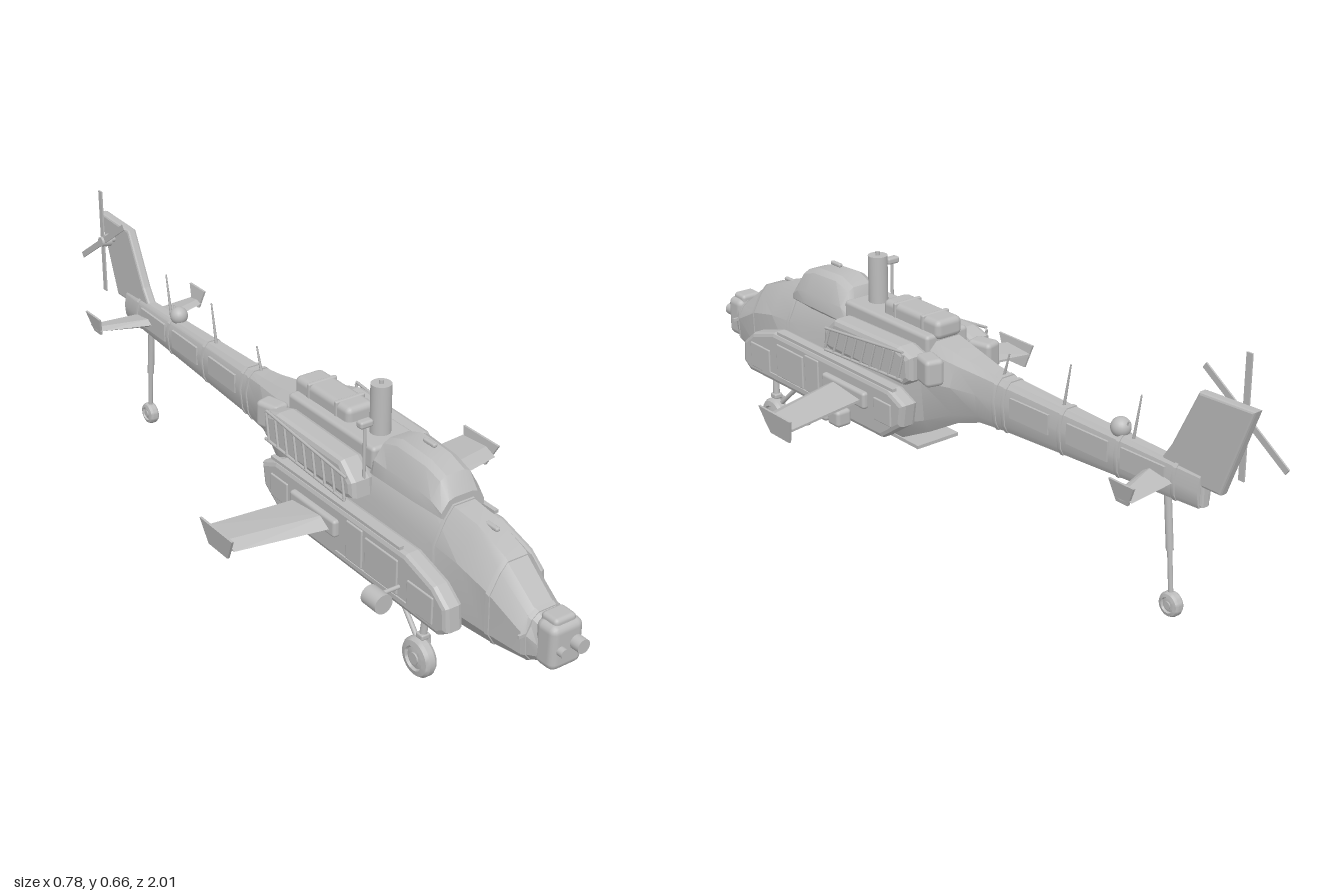
import * as THREE from 'three';
import { toCreasedNormals } from 'three/addons/utils/BufferGeometryUtils.js';
import { RoundedBoxGeometry } from 'three/addons/geometries/RoundedBoxGeometry.js';
import { ConvexGeometry } from 'three/addons/geometries/ConvexGeometry.js';

const grey = new THREE.MeshStandardMaterial({ color: 0xbcbcbc });
grey.name = 'airframe grey';

// Fuselage stations: z, bottom, top, lower half width, waist half width, waist height, upper half width
const STATIONS = [
  [0.93, 0.175, 0.268, 0.042, 0.046, 0.22, 0.036],
  [0.89, 0.162, 0.285, 0.058, 0.062, 0.24, 0.042],
  [0.79, 0.153, 0.362, 0.072, 0.074, 0.29, 0.046],
  [0.70, 0.148, 0.393, 0.078, 0.077, 0.31, 0.046],
  [0.58, 0.144, 0.405, 0.085, 0.077, 0.32, 0.05],
  [0.38, 0.14, 0.425, 0.088, 0.077, 0.33, 0.058],
  [0.14, 0.142, 0.43, 0.088, 0.082, 0.33, 0.06],
  [0.04, 0.19, 0.425, 0.076, 0.085, 0.33, 0.06],
  [-0.05, 0.24, 0.41, 0.056, 0.068, 0.34, 0.05],
  [-0.12, 0.262, 0.4, 0.04, 0.048, 0.34, 0.038],
  [-0.2, 0.268, 0.393, 0.034, 0.039, 0.34, 0.029],
  [-0.82, 0.3, 0.38, 0.019, 0.022, 0.34, 0.016],
];

function ring([z, y0, y1, wb, wm, ym, wt], grow = 0) {
  const h = y1 - y0;
  const half = [
    [wb * 0.75, y0 - grow], [wb + grow, y0 + h * 0.15], [wm + grow, ym],
    [wt + grow, y1 - h * 0.1], [wt * 0.6, y1 + grow],
  ];
  return [...half, ...half.slice().reverse().map(([x, y]) => [-x, y])].map(([x, y]) => [x, y, z]);
}

// Skin through rings ordered from front to back, with both ends capped
function loft(rings) {
  const n = rings[0].length, idx = [], pos = rings.flat(2);
  for (let i = 0; i < rings.length - 1; i++) {
    for (let j = 0; j < n; j++) {
      const a = i * n + j, b = i * n + (j + 1) % n;
      idx.push(a, a + n, b, b, a + n, b + n);
    }
  }
  const last = (rings.length - 1) * n;
  for (let j = 1; j < n - 1; j++) idx.push(0, j, j + 1, last, last + j + 1, last + j);
  const g = new THREE.BufferGeometry();
  g.setAttribute('position', new THREE.Float32BufferAttribute(pos, 3));
  g.setIndex(idx);
  return toCreasedNormals(g, 0.45);
}

function stationAt(z) {
  const i = Math.max(1, STATIONS.findIndex((s) => s[0] <= z));
  const a = STATIONS[i - 1], b = STATIONS[i], t = (z - a[0]) / (b[0] - a[0]);
  return a.map((v, k) => v + (b[k] - v) * t);
}

export function createModel() {
  const model = new THREE.Group();
  model.name = 'helicopter';
  const add = (name, geo, x = 0, y = 0, z = 0) => {
    const m = new THREE.Mesh(geo, grey);
    m.name = name;
    m.position.set(x, y, z);
    model.add(m);
    return m;
  };
  const box = (name, w, h, d, x, y, z) => add(name, new THREE.BoxGeometry(w, h, d), x, y, z);
  const soft = (name, w, h, d, x, y, z, r = 0.01) => add(name, new RoundedBoxGeometry(w, h, d, 2, r), x, y, z);
  const hull = (name, pts) => add(name, new ConvexGeometry(pts.map((p) => new THREE.Vector3(...p))));
  const rod = (name, a, b, r0, r1 = r0, sides = 12) => {
    const A = new THREE.Vector3(...a), B = new THREE.Vector3(...b), d = B.clone().sub(A);
    const m = add(name, new THREE.CylinderGeometry(r1, r0, d.length(), sides));
    m.position.copy(A).add(B).multiplyScalar(0.5);
    m.quaternion.setFromUnitVectors(new THREE.Vector3(0, 1, 0), d.normalize());
    return m;
  };
  // Slab with a (z, y) side outline, centred on x
  const slab = (name, pts, width, x, bevel) => {
    const shape = new THREE.Shape(pts.map((p) => new THREE.Vector2(...p)));
    const g = new THREE.ExtrudeGeometry(shape, {
      depth: width - 2 * bevel, bevelEnabled: bevel > 0, bevelSize: bevel, bevelThickness: bevel, bevelOffset: -bevel, bevelSegments: 2,
    });
    g.translate(0, 0, bevel - width / 2).rotateY(-Math.PI / 2);
    return add(name, g, x);
  };
  const wheel = (name, x, y, z, r, w) => {
    const h = w / 2;
    const outline = [[r * 0.25, -h * 0.8], [r * 0.55, -h * 0.65], [r * 0.62, -h], [r * 0.88, -h * 0.85], [r, -h * 0.4],
      [r, h * 0.4], [r * 0.88, h * 0.85], [r * 0.62, h], [r * 0.55, h * 0.65], [r * 0.25, h * 0.8]];
    const g = new THREE.LatheGeometry(outline.map((p) => new THREE.Vector2(...p)), 28);
    add(name, toCreasedNormals(g.rotateZ(Math.PI / 2), 0.6), x, y, z);
    rod(name + 'Hub', [x - h, y, z], [x + h, y, z], r * 0.3);
  };

  // Fuselage and raised frames
  add('fuselage', loft(STATIONS.map((s) => ring(s))));
  for (const z of [0.9, 0.8, 0.62, -0.18, -0.21, -0.4, -0.58, -0.75]) {
    const a = stationAt(z + 0.005), b = stationAt(z - 0.005);
    add('frame', loft([ring(a, 0.003), ring(b, 0.003)]));
  }
  // Rear canopy and roof
  add('rearCanopy', loft([
    [0.62, 0.37, 0.42, 0.06, 0.06, 0.39, 0.04], [0.59, 0.37, 0.46, 0.068, 0.066, 0.41, 0.042],
    [0.54, 0.37, 0.477, 0.074, 0.07, 0.42, 0.044], [0.44, 0.37, 0.483, 0.076, 0.072, 0.42, 0.046],
    [0.39, 0.37, 0.465, 0.074, 0.07, 0.42, 0.044], [0.37, 0.37, 0.42, 0.065, 0.06, 0.4, 0.04],
  ].map((s) => ring(s))));
  soft('roofDeck', 0.13, 0.06, 0.34, 0, 0.412, 0.21);
  soft('roofPod', 0.08, 0.05, 0.22, 0, 0.452, 0.14, 0.015);
  for (const z of [0.2, 0.09]) soft('roofPodBand', 0.084, 0.054, 0.012, 0, 0.452, z, 0.004);
  for (const z of [0.72, 0.5]) soft('roofHandle', 0.012, 0.01, 0.04, 0, stationAt(z)[2] + (z < 0.6 ? 0.08 : 0.002), z, 0.004);
  rod('rotorMast', [0, 0.42, 0.32], [0, 0.565, 0.32], 0.025, 0.025, 28);
  rod('mastCap', [0, 0.565, 0.32], [0, 0.574, 0.32], 0.006);
  rod('sensorPost', [-0.09, 0.36, 0.38], [-0.09, 0.51, 0.38], 0.004);
  soft('sensorHead', 0.036, 0.018, 0.022, -0.09, 0.516, 0.38, 0.006);

  // Nose turret
  soft('noseTurret', 0.088, 0.11, 0.062, 0, 0.225, 0.945, 0.018);
  soft('noseTurretTop', 0.06, 0.03, 0.05, 0, 0.277, 0.94, 0.01);
  rod('smallLens', [-0.022, 0.222, 0.97], [-0.022, 0.222, 0.99], 0.011, 0.011, 20);
  rod('largeLens', [0.02, 0.23, 0.97], [0.02, 0.23, 1], 0.017, 0.017, 20);
  box('noseBar', 0.15, 0.008, 0.006, 0, 0.235, 0.902);
  box('bellyPlate', 0.13, 0.009, 0.39, 0, 0.134, 0.275);

  for (const s of [-1, 1]) {
    // Side sponson with shallow panels
    slab('sponson', [[0.75, 0.18], [0.745, 0.24], [0.7, 0.275], [0.6, 0.305], [0.1, 0.305], [0.04, 0.28], [0.05, 0.22], [0.13, 0.165], [0.72, 0.16]], 0.05, s * 0.118, 0.012);
    slab('sponsonFillet', [[0.68, 0.17], [0.62, 0.27], [0.12, 0.29], [0.08, 0.23], [0.15, 0.17]], 0.05, s * 0.085, 0.005);
    for (const [z, y, d, h] of [[0.66, 0.215, 0.09, 0.07], [0.52, 0.235, 0.12, 0.09], [0.42, 0.24, 0.06, 0.1], [0.12, 0.24, 0.07, 0.06]]) {
      soft('sidePanel', 0.008, h, d, s * 0.143, y, z, 0.003);
    }
    box('sponsonRail', 0.012, 0.008, 0.5, s * 0.135, 0.309, 0.33);
    box('sponsonStep', 0.008, 0.008, 0.3, s * 0.143, 0.185, 0.5);

    // Engine nacelle, exhaust and slanted grille
    slab('engineNacelle', [[0.39, 0.335], [0.385, 0.375], [0.34, 0.415], [0.08, 0.42], [0.03, 0.405], [0.03, 0.345], [0.06, 0.325], [0.36, 0.325]], 0.065, s * 0.097, 0.014);
    soft('exhaust', 0.05, 0.07, 0.07, s * 0.085, 0.375, 0.005, 0.012).rotation.y = -s * 0.25;
    rod('grilleTop', [s * 0.132, 0.385, 0.37], [s * 0.132, 0.417, 0.05], 0.004, 0.004, 6);
    rod('grilleBottom', [s * 0.136, 0.328, 0.37], [s * 0.136, 0.345, 0.05], 0.004, 0.004, 6);
    for (let i = 0; i < 9; i++) {
      const z = 0.37 - i * 0.038;
      rod('grilleBar', [s * 0.136, 0.328 + i * 0.002, z], [s * 0.132, 0.388 + i * 0.003, z - 0.018], 0.0035, 0.0035, 6);
    }

    // Stub wing, tip plate and pylon
    const section = (x, front, rear, top, bottom) => [
      [s * x, (top + bottom) / 2 - 0.003, front], [s * x, top, front - 0.035], [s * x, bottom, front - 0.035],
      [s * x, (top + bottom) / 2 + 0.004, rear], [s * x, (top + bottom) / 2 - 0.002, rear],
    ];
    hull('stubWing', [...section(0.12, 0.35, 0.2, 0.266, 0.232), ...section(0.382, 0.29, 0.165, 0.252, 0.23)]);
    const plate = (x0, y0, x1, y1, zs) => [0, 0.006].flatMap((t) => [
      [s * (x0 + t), y0, zs[0]], [s * (x0 + t), y0, zs[1]], [s * (x1 + t), y1, zs[2]], [s * (x1 + t), y1, zs[3]]]);
    hull('wingTip', plate(0.376, 0.204, 0.386, 0.268, [0.26, 0.18, 0.295, 0.16]));
    soft('wingPylon', 0.016, 0.022, 0.07, s * 0.305, 0.231, 0.24, 0.004);
    soft('wingRoot', 0.02, 0.045, 0.18, s * 0.148, 0.25, 0.27, 0.008);

    // Tailplane
    hull('tailplane', [[0.015, -0.66, -0.75, 0.012], [0.16, -0.71, -0.765, 0.006]].flatMap(([x, f, r, t]) => [
      [s * x, 0.338, f], [s * x, 0.338 + t, f - 0.02], [s * x, 0.338 - t, f - 0.02], [s * x, 0.338, r]]));
    hull('tailplaneTip', plate(0.152, 0.325, 0.162, 0.376, [-0.715, -0.75, -0.7, -0.775]));

    // Main landing gear
    wheel('mainWheel', s * 0.119, 0.049, 0.635, 0.049, 0.036);
    rod('mainStrut', [s * 0.114, 0.09, 0.637], [s * 0.108, 0.19, 0.645], 0.009);
    soft('strutCollar', 0.024, 0.014, 0.024, s * 0.113, 0.105, 0.638, 0.004);
    rod('mainBrace', [s * 0.114, 0.08, 0.625], [s * 0.105, 0.175, 0.525], 0.006);
    box('axleFork', 0.008, 0.055, 0.014, s * 0.097, 0.072, 0.635);

    // Raised panels along the tail boom
    for (const z of [-0.3, -0.49, -0.66]) {
      const w = stationAt(z)[4];
      box('boomPanel', 0.006, 0.05, 0.13, s * (w - 0.001), 0.342, z).rotation.y = s * 0.027;
    }
  }

  // Left equipment boxes and right side pod
  for (const z of [0.33, 0.275]) soft('equipmentBox', 0.045, 0.045, 0.048, 0.164, 0.182, z, 0.01);
  rod('podArm', [-0.13, 0.215, 0.585], [-0.2, 0.215, 0.585], 0.005);
  rod('sidePod', [-0.205, 0.206, 0.56], [-0.205, 0.206, 0.612], 0.024, 0.024, 28);

  // Tail fin and rotor
  slab('tailFin', [[-0.7, 0.375], [-0.73, 0.42], [-0.8, 0.563], [-0.955, 0.568], [-0.875, 0.35], [-0.827, 0.35], [-0.827, 0.302], [-0.72, 0.31]], 0.026, 0, 0.006);
  rod('tailRotorShaft', [0, 0.515, -0.88], [-0.05, 0.515, -0.88], 0.009);
  rod('tailRotorHub', [-0.028, 0.515, -0.88], [-0.055, 0.515, -0.88], 0.018, 0.013, 16);
  for (const a of [0, 0.98, Math.PI, Math.PI + 0.98]) {
    const blade = new THREE.BoxGeometry(0.004, 0.145, 0.016).translate(0, 0.073, 0);
    add('tailRotorBlade', blade, -0.047, 0.515, -0.88).rotation.x = a;
  }

  // Tail wheel
  wheel('tailWheel', 0, 0.03, -0.742, 0.03, 0.028);
  rod('tailStrutLower', [0, 0.05, -0.74], [0, 0.18, -0.728], 0.006);
  rod('tailStrutUpper', [0, 0.16, -0.73], [0, 0.31, -0.714], 0.009);

  // Boom aerials and dome
  for (const [z, h] of [[-0.17, 0.065], [-0.38, 0.11], [-0.605, 0.115], [-0.57, 0.04]]) {
    const y = stationAt(z)[2] - 0.005;
    rod('aerial', [0, y, z], [0, y + h, z - 0.02], 0.004, 0.002, 6);
  }
  add('boomDome', new THREE.SphereGeometry(0.024, 20, 14), 0, 0.398, -0.565);
  return model;
}
